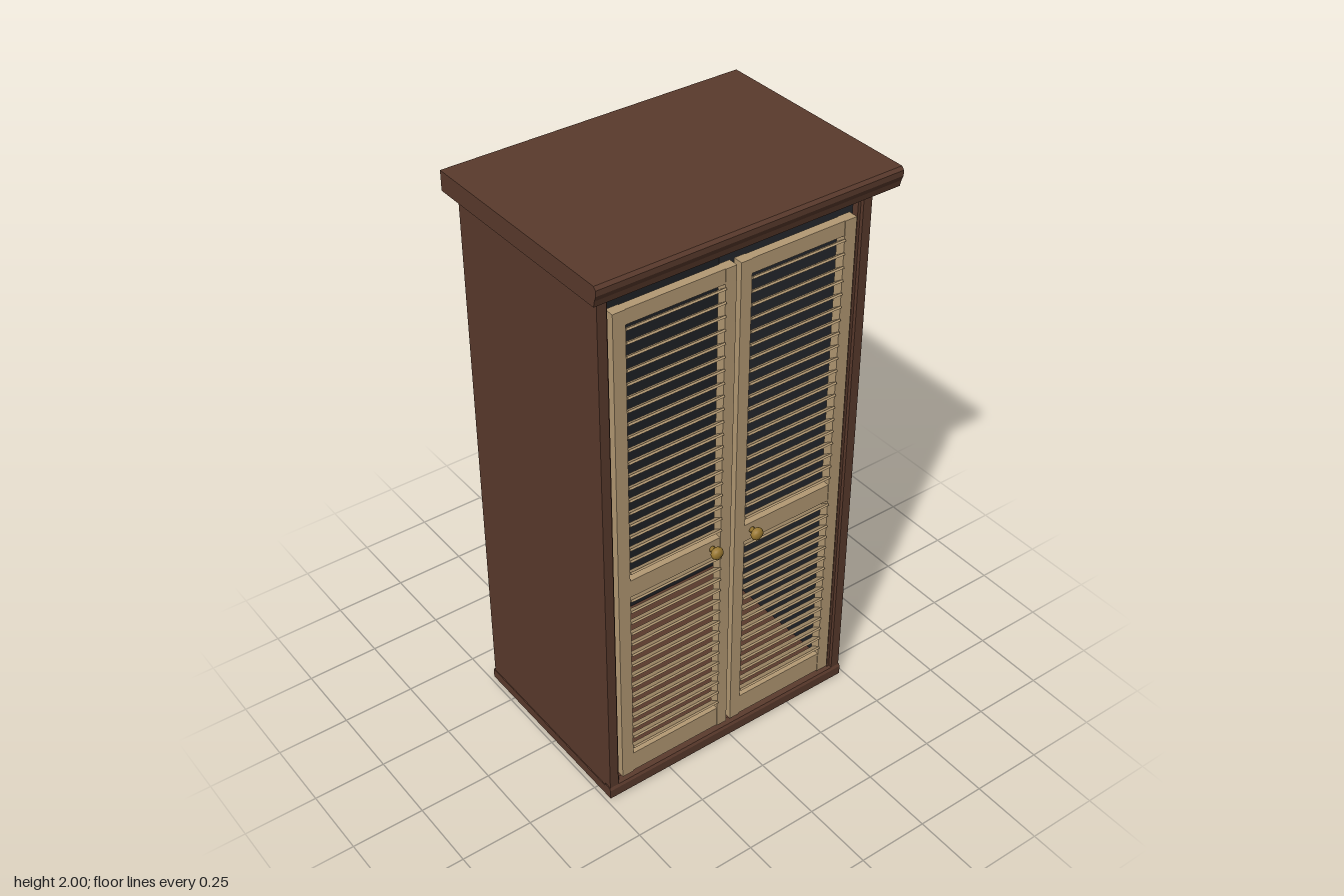
import * as THREE from 'three';

const mat = (color, extra = {}) => new THREE.MeshStandardMaterial({ color, ...extra });
const WOOD = mat(0x5a3a2c), DARK = mat(0x1f2126), TAN = mat(0xb49a74), BRASS = mat(0x9a7830);

// Box given by its minimum and maximum corners
function box(parent, name, material, [x0, y0, z0], [x1, y1, z1]) {
  const mesh = new THREE.Mesh(new THREE.BoxGeometry(x1 - x0, y1 - y0, z1 - z0), material);
  mesh.position.set((x0 + x1) / 2, (y0 + y1) / 2, (z0 + z1) / 2);
  mesh.name = name;
  parent.add(mesh);
  return mesh;
}

// Profile drawn in (z, y), extruded along x and centred
function moulding(parent, name, material, points, width) {
  const shape = new THREE.Shape(points.map(([z, y]) => new THREE.Vector2(-z, y)));
  const geo = new THREE.ExtrudeGeometry(shape, { depth: width, bevelEnabled: false });
  geo.translate(0, 0, -width / 2).rotateY(Math.PI / 2);
  const mesh = new THREE.Mesh(geo, material);
  mesh.name = name;
  parent.add(mesh);
  return mesh;
}

// Evenly spaced tilted louvres, front edge raised
function louvres(parent, x0, x1, y0, y1, count) {
  const pitch = (y1 - y0) / count;
  for (let i = 0; i < count; i++) {
    const slat = new THREE.Mesh(new THREE.BoxGeometry(x1 - x0, 0.007, 0.042), TAN);
    slat.position.set((x0 + x1) / 2, y0 + (i + 0.5) * pitch, 0.3);
    slat.rotation.x = -0.62;
    slat.name = 'louvre';
    parent.add(slat);
  }
}

function door(side) {
  const g = new THREE.Group();
  g.name = side > 0 ? 'leftDoor' : 'rightDoor';
  const part = (name, a, b, y0, y1, z0, z1) =>
    box(g, name, TAN, [Math.min(a * side, b * side), y0, z0], [Math.max(a * side, b * side), y1, z1]);

  // Stiles and rails
  part('innerStile', 0.008, 0.047, 0.06, 1.84, 0.278, 0.312);
  part('outerStile', 0.387, 0.43, 0.06, 1.84, 0.278, 0.312);
  part('topRail', 0.047, 0.387, 1.79, 1.84, 0.28, 0.31);
  part('middleRail', 0.047, 0.387, 0.81, 0.875, 0.28, 0.31);
  part('bottomRail', 0.047, 0.387, 0.062, 0.14, 0.28, 0.31);

  // Louvre panels
  const [x0, x1] = side > 0 ? [0.047, 0.387] : [-0.387, -0.047];
  louvres(g, x0, x1, 0.875, 1.79, 20);
  louvres(g, x0, x1, 0.14, 0.81, 15);

  // Turned knob
  const profile = [[0.001, 0], [0.011, 0], [0.008, 0.008], [0.012, 0.013], [0.02, 0.02],
    [0.022, 0.027], [0.019, 0.035], [0.011, 0.04], [0, 0.041]].map(p => new THREE.Vector2(...p));
  const knob = new THREE.Mesh(new THREE.LatheGeometry(profile, 20), BRASS);
  knob.rotation.x = Math.PI / 2;
  knob.position.set(0.078 * side, 0.845, 0.309);
  knob.name = 'knob';
  g.add(knob);
  return g;
}

export function createModel() {
  const model = new THREE.Group();
  model.name = 'wardrobe';

  // Carcass: floor, ceiling, back and sides with a dark lining
  box(model, 'floor', WOOD, [-0.47, 0.01, -0.37], [0.47, 0.04, 0.3]);
  box(model, 'ceiling', WOOD, [-0.47, 1.9, -0.37], [0.47, 1.94, 0.3]);
  box(model, 'backPanel', WOOD, [-0.478, 0.01, -0.377], [0.478, 1.94, -0.36]);
  box(model, 'backLining', DARK, [-0.46, 0.04, -0.36], [0.46, 1.9, -0.355]);
  for (const s of [-1, 1]) {
    const span = (a, b) => [Math.min(a * s, b * s), Math.max(a * s, b * s)];
    const [a0, a1] = span(0.46, 0.482);
    box(model, 'sidePanel', WOOD, [a0, 0.01, -0.375], [a1, 1.94, 0.3]);
    const [b0, b1] = span(0.455, 0.46);
    box(model, 'sideLining', DARK, [b0, 0.04, -0.355], [b1, 1.9, 0.29]);
    // Front frame upright with a stepped inner edge
    const [c0, c1] = span(0.45, 0.482);
    box(model, 'frameUpright', WOOD, [c0, 0.01, 0.285], [c1, 1.94, 0.315]);
    const [d0, d1] = span(0.44, 0.45);
    box(model, 'frameLip', WOOD, [d0, 0.04, 0.28], [d1, 1.9, 0.303]);
  }
  box(model, 'frameTopRail', WOOD, [-0.45, 1.9, 0.285], [0.45, 1.94, 0.315]);
  box(model, 'frameTopLip', WOOD, [-0.44, 1.89, 0.28], [0.44, 1.9, 0.303]);

  // Base moulding: front and side strips around the floor
  box(model, 'base', WOOD, [-0.485, 0, -0.381], [0.485, 0.035, 0.315]);
  moulding(model, 'baseFront', WOOD,
    [[0.29, 0], [0.32, 0], [0.32, 0.033], [0.315, 0.042], [0.29, 0.045]], 0.97);

  // Overhanging top with a shaped front edge
  moulding(model, 'top', WOOD,
    [[-0.381, 1.934], [0.373, 1.934], [0.378, 1.955], [0.385, 1.972], [0.385, 1.99], [0.376, 2], [-0.381, 2]], 1.06);

  // Louvred doors
  model.add(door(-1), door(1));
  return model;
}
